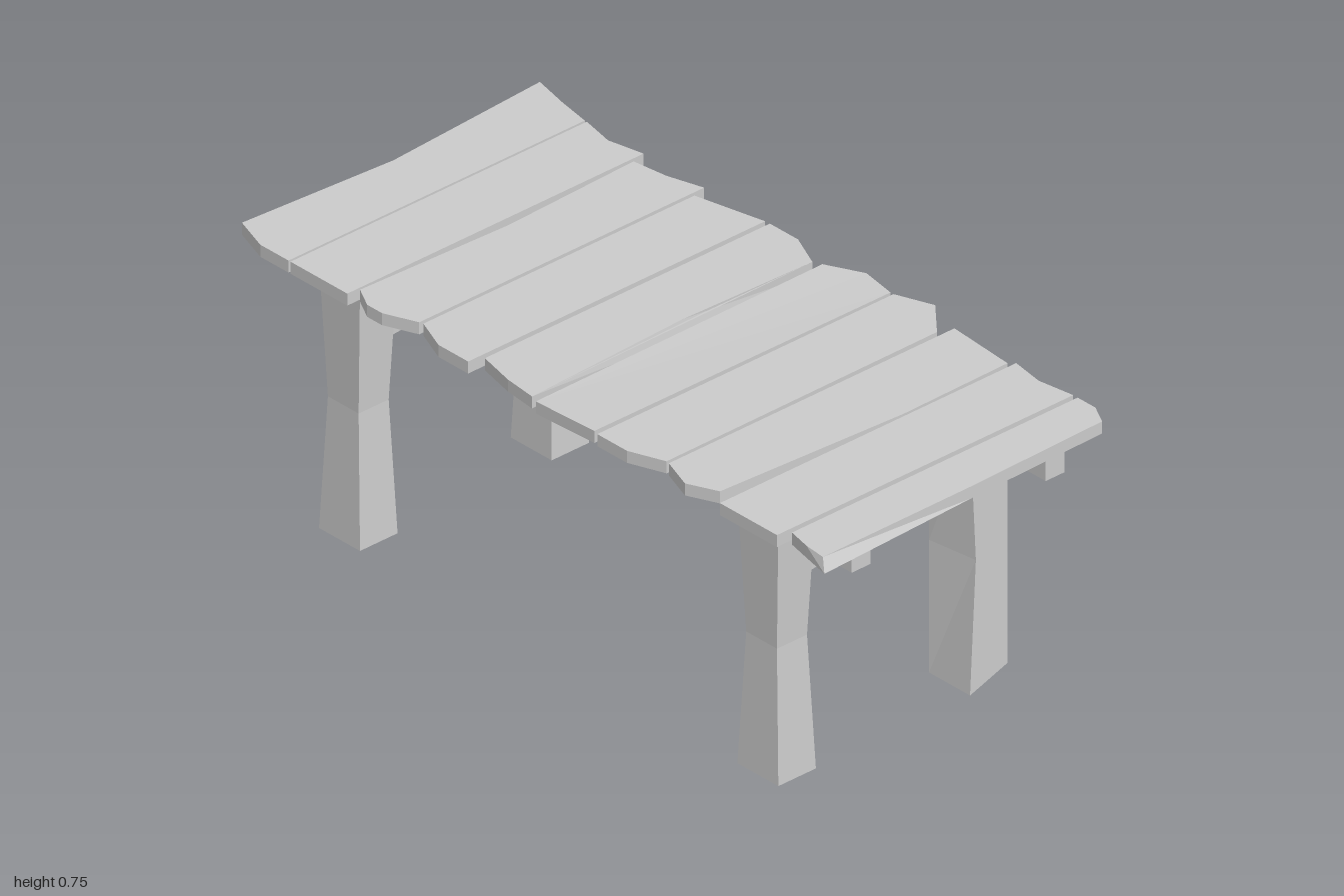
import * as THREE from 'three';

const material = new THREE.MeshStandardMaterial({ color: 0xcccccc, flatShading: true });

// Move every vertex of a geometry by a rule
function warp(geometry, rule) {
  const p = geometry.attributes.position;
  const v = new THREE.Vector3();
  for (let i = 0; i < p.count; i++) {
    v.fromBufferAttribute(p, i);
    rule(v);
    p.setXYZ(i, v.x, v.y, v.z);
  }
  geometry.computeVertexNormals();
  return geometry;
}

// Board cut from an outline: left-to-right back edge, right side, front edge, left side (x, z)
function plankGeometry(outline, bottom = 0.71, height = 0.032) {
  const shape = new THREE.Shape(outline.map(([x, z]) => new THREE.Vector2(x, -z)));
  return new THREE.ExtrudeGeometry(shape, { depth: height, bevelEnabled: false })
    .rotateX(-Math.PI / 2)
    .translate(0, bottom, 0);
}

// Outlines of the ten rough-cut boards
const planks = [
  [[-1, -0.48], [-0.9, -0.457], [-0.805, -0.44], [-0.805, 0.475], [-0.9, 0.475], [-1, 0.44], [-0.97, 0]],
  [[-0.798, -0.44], [-0.705, -0.42], [-0.607, -0.44], [-0.607, 0.475], [-0.798, 0.475]],
  [[-0.597, -0.4], [-0.5, -0.412], [-0.403, -0.44], [-0.403, 0.44], [-0.49, 0.475], [-0.54, 0.475], [-0.6, 0.442], [-0.582, 0]],
  [[-0.392, -0.4], [-0.3, -0.42], [-0.2, -0.442], [-0.2, 0.475], [-0.3, 0.475], [-0.392, 0.437]],
  [[-0.185, -0.443], [-0.09, -0.443], [0.005, -0.4], [0.01, 0], [0.012, 0.472], [-0.08, 0.462], [-0.185, 0.437]],
  [[0.028, -0.41], [0.125, -0.457], [0.225, -0.44], [0.225, 0.475], [0.028, 0.475]],
  [[0.235, -0.44], [0.335, -0.477], [0.425, -0.4], [0.43, 0.44], [0.335, 0.475], [0.235, 0.475]],
  [[0.44, -0.44], [0.635, -0.425], [0.64, -0.1], [0.61, 0.44], [0.53, 0.475], [0.44, 0.442]],
  [[0.648, -0.44], [0.74, -0.425], [0.84, -0.44], [0.84, 0.475], [0.648, 0.475]],
  [[0.855, -0.44], [0.915, -0.44], [0.97, -0.41], [0.98, 0], [1, 0.475], [0.92, 0.457], [0.855, 0.442]],
];

// Small dents and lifts in a few boards
const dents = {
  4: (v) => { if (v.y > 0.73 && v.x > 0 && Math.abs(v.z) < 0.1) { v.y += 0.008; v.x -= 0.008; } },
  5: (v) => { if (v.x < 0.1 && v.z > 0) v.y -= 0.005; if (v.x > 0.2 && v.z > 0) v.y += 0.004; },
  9: (v) => { if (v.y > 0.73 && v.x > 0.99) { v.x -= 0.018; v.z -= 0.012; } },
};

const LEG = { width: 0.138, height: 0.705, depth: 0.116 };

// Leg block with a middle row of corners that can be pinched
function legGeometry() {
  return new THREE.BoxGeometry(LEG.width, LEG.height, LEG.depth, 1, 2, 1).translate(0, LEG.height / 2, 0);
}

function waistedLeg() {
  return warp(legGeometry(), (v) => {
    if (Math.abs(v.y - LEG.height / 2) < 0.01) { v.x *= 0.75; v.z *= 0.8; }
  });
}

// Rough leg: nearly straight, one foot corner chipped away
function roughLeg() {
  return warp(legGeometry(), (v) => {
    const isMiddle = Math.abs(v.y - LEG.height / 2) < 0.01;
    if (isMiddle && v.x > 0 && v.z > 0) v.z -= 0.018;
    if (v.y < 0.01 && v.x > 0 && v.z < 0) v.y = 0.04;
  });
}

export function createModel() {
  const table = new THREE.Group();
  table.name = 'plankTable';

  function add(name, geometry, x = 0, y = 0, z = 0, parent = table) {
    const mesh = new THREE.Mesh(geometry, material);
    mesh.name = name;
    mesh.position.set(x, y, z);
    parent.add(mesh);
    return mesh;
  }

  // Table top
  const top = new THREE.Group();
  top.name = 'tableTop';
  table.add(top);
  planks.forEach((outline, i) => {
    const geometry = plankGeometry(outline);
    if (dents[i]) warp(geometry, dents[i]);
    add(`plank${i + 1}`, geometry, 0, 0, 0, top);
  });

  // Long beams under the boards
  for (const [name, z] of [['frontBeam', 0.335], ['backBeam', -0.264]]) {
    add(name, new THREE.BoxGeometry(1.95, 0.055, 0.058), -0.004, 0.6825, z);
  }

  // Legs and the stretchers that join each pair
  for (const [side, x] of [['right', -0.728], ['left', 0.681]]) {
    add(`${side}FrontLeg`, waistedLeg(), x, 0, 0.33);
    add(`${side}BackLeg`, side === 'left' ? roughLeg() : waistedLeg(), x, 0, -0.262);

    const stretcher = warp(new THREE.BoxGeometry(0.075, 0.095, 0.53, 1, 1, 2), (v) => {
      if (Math.abs(v.z) < 0.01) { v.y *= 0.75; v.x *= 0.85; }
    });
    add(`${side}Stretcher`, stretcher, x, 0.553, 0.032);
  }

  return table;
}
